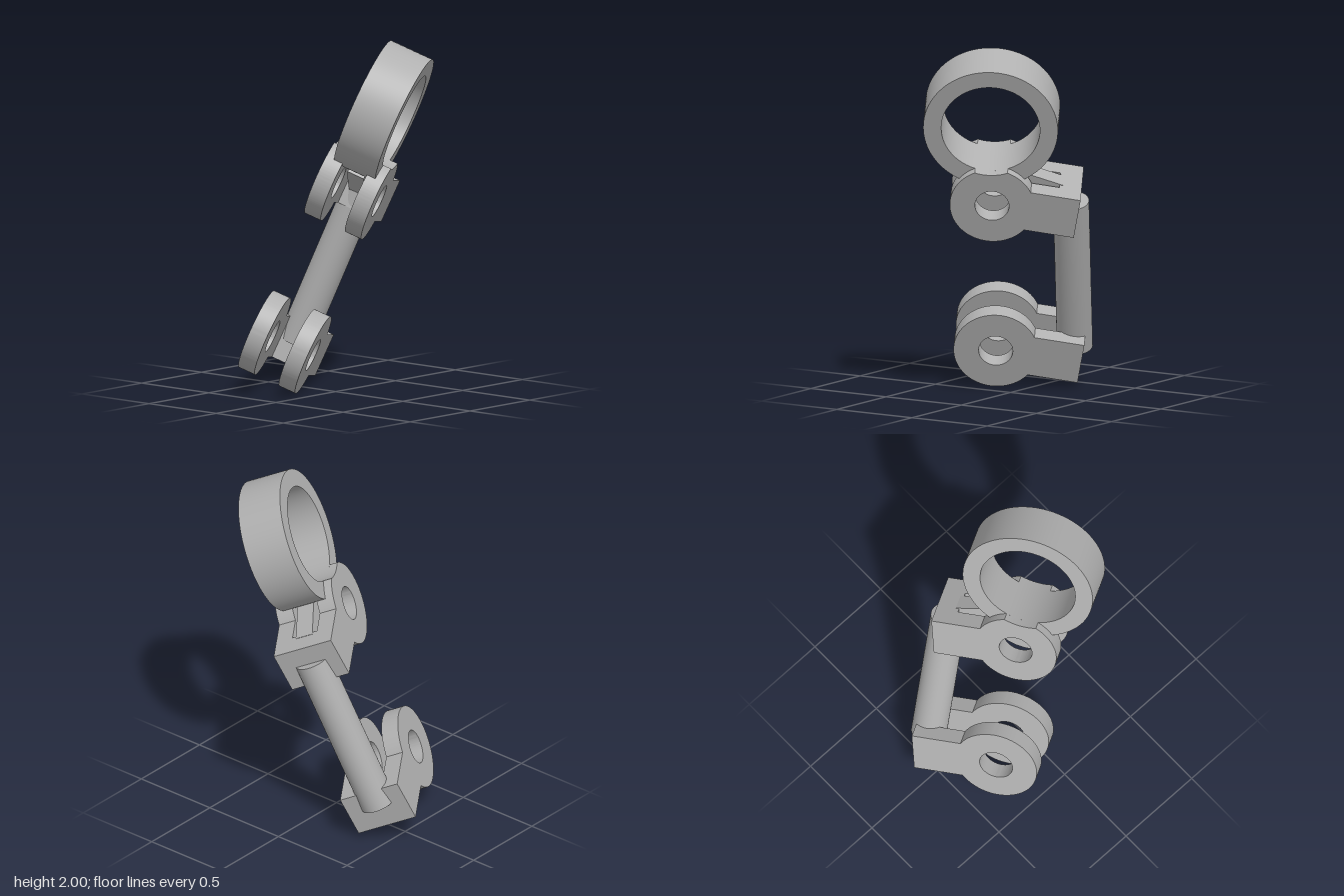
import * as THREE from 'three';
import { toCreasedNormals } from 'three/addons/utils/BufferGeometryUtils.js';

const LUG_R = 0.235, HOLE_R = 0.095, ARM_END = 0.48, ARM_H = 0.125, SLOT_END = 0.355;
const DEPTH = 0.35, LUG_T = 0.1;
const RING_R = 0.375, BORE_R = 0.275, RING_T = 0.255, RING_DIST = 0.476;
const TILT = THREE.MathUtils.degToRad(10);

export function createModel() {
  const gray = new THREE.MeshStandardMaterial({ color: 0xb0b0b0 });
  gray.name = 'plain gray';

  // Extrudes a shape, centred on z
  const plate = (name, shape, depth) => {
    const geo = new THREE.ExtrudeGeometry(shape, { depth, bevelEnabled: false, curveSegments: 64 });
    geo.translate(0, 0, -depth / 2);
    const mesh = new THREE.Mesh(toCreasedNormals(geo, 0.5), gray);
    mesh.name = name;
    return mesh;
  };
  const circleHole = (r) => new THREE.Path().absarc(0, 0, r, 0, Math.PI * 2, true);

  // Eye with a straight arm; optionally hollowed where the ring bore passes
  const lugShape = (bored) => {
    const s = new THREE.Shape();
    const phi = Math.asin(ARM_H / LUG_R);
    s.moveTo(ARM_END, -ARM_H);
    s.lineTo(ARM_END, ARM_H);
    s.lineTo(LUG_R * Math.cos(phi), ARM_H);
    if (bored) {
      const up = Math.PI / 2 + TILT;
      const d = (RING_DIST ** 2 + LUG_R ** 2 - BORE_R ** 2) / (2 * RING_DIST);
      const half = Math.sqrt(LUG_R ** 2 - d * d);
      const g = Math.atan2(half, d), k = Math.asin(half / BORE_R);
      s.absarc(0, 0, LUG_R, phi, up - g, false);
      s.absarc(RING_DIST * Math.cos(up), RING_DIST * Math.sin(up), BORE_R, up - Math.PI + k, up - Math.PI - k, true);
      s.absarc(0, 0, LUG_R, up + g, Math.PI * 2 - phi, false);
    } else {
      s.absarc(0, 0, LUG_R, phi, Math.PI * 2 - phi, false);
    }
    s.closePath();
    s.holes.push(circleHole(HOLE_R));
    return s;
  };

  // Two eyes joined by a web at the arm end
  const clevis = (name, y, bored) => {
    const g = new THREE.Group();
    g.name = name;
    for (const side of [-1, 1]) {
      const lug = plate(side > 0 ? 'frontLug' : 'backLug', lugShape(bored), LUG_T);
      lug.position.z = side * (DEPTH - LUG_T) / 2;
      g.add(lug);
    }
    const web = new THREE.Mesh(
      new THREE.BoxGeometry(ARM_END - SLOT_END, ARM_H * 2, DEPTH - 2 * LUG_T), gray);
    web.name = 'web';
    web.position.x = (ARM_END + SLOT_END) / 2;
    g.add(web);
    g.rotation.z = -TILT;
    g.position.y = y;
    return g;
  };

  const body = new THREE.Group();
  body.name = 'linkage';
  const lowY = 0.16, highY = 1.118;
  body.add(clevis('lowerClevis', lowY, false), clevis('upperClevis', highY, true));

  // Rod between the arm ends
  const rod = new THREE.Mesh(new THREE.CylinderGeometry(0.1, 0.1, highY - lowY, 64), gray);
  rod.name = 'rod';
  rod.position.set(0.43, (lowY + highY) / 2 - 0.072, 0);
  body.add(rod);

  // Large ring above the upper clevis
  const ringShape = new THREE.Shape().absarc(0, 0, RING_R, 0, Math.PI * 2, false);
  ringShape.holes.push(circleHole(BORE_R));
  const ring = plate('ring', ringShape, RING_T);
  ring.position.y = highY + RING_DIST;
  body.add(ring);

  // Slanted tongue in the upper slot, from web to ring
  const tongue = plate('tongue', new THREE.Shape([
    [0.39, 0.06], [0.19, 0.134], [0.05, 0.18], [-0.04, 0.086], [0.079, 0.025], [0.36, -0.1],
  ].map(([x, y]) => new THREE.Vector2(x, y))), 0.1);
  tongue.position.y = highY;
  body.add(tongue);

  // Lean the whole linkage: its eye axis points forward, down and to +x
  const n = new THREE.Vector3(0.461, -0.392, 0.796).normalize();
  const xAxis = new THREE.Vector3(0, 1, 0).cross(n).normalize();
  const yAxis = n.clone().cross(xAxis);
  body.quaternion.setFromRotationMatrix(new THREE.Matrix4().makeBasis(xAxis, yAxis, n));
  body.position.copy(xAxis).multiplyScalar(-0.0885).addScaledVector(n, -0.362);

  const model = new THREE.Group();
  model.name = 'ringLinkage';
  model.add(body);
  return model;
}
